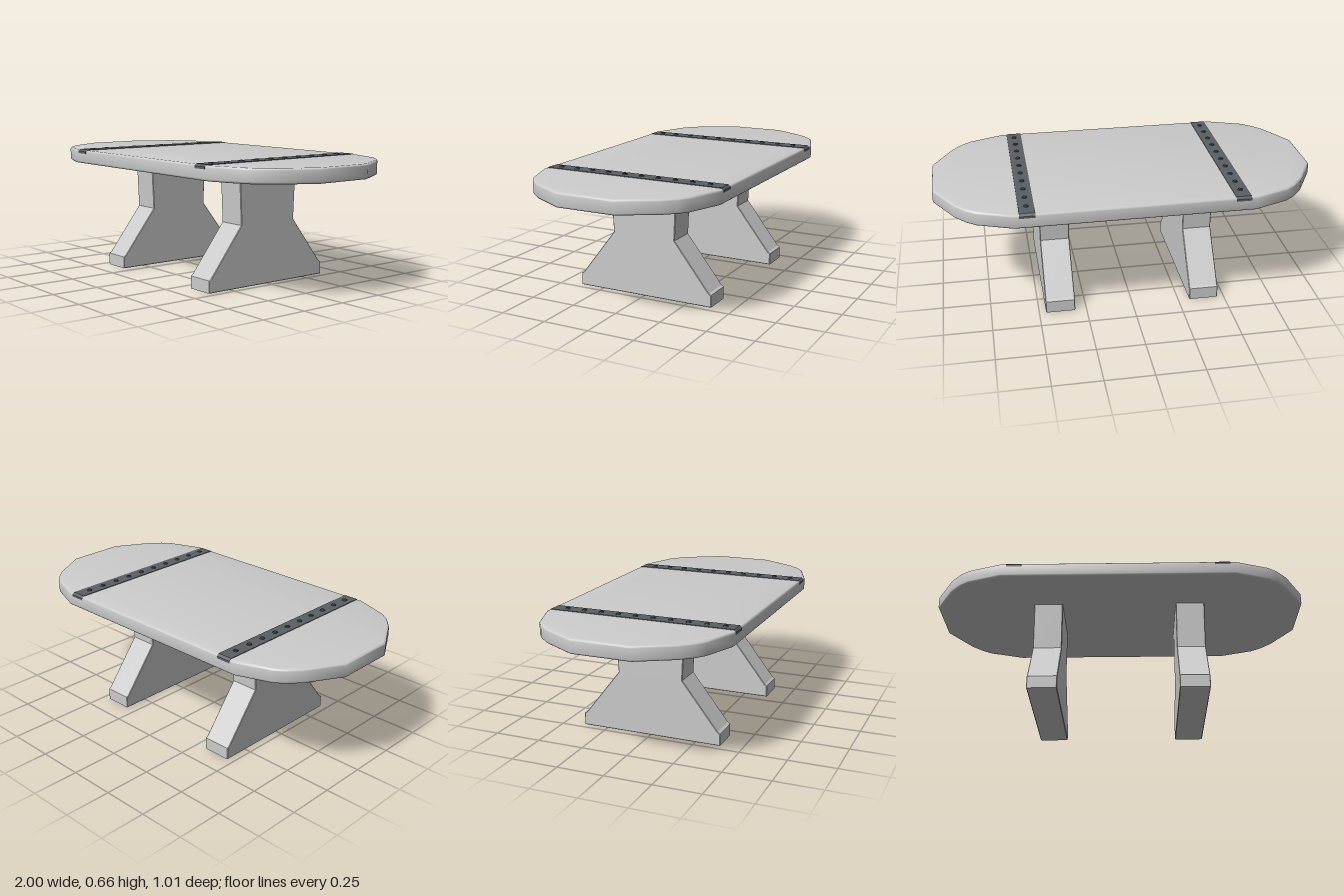
import * as THREE from 'three';
import { toCreasedNormals } from 'three/addons/utils/BufferGeometryUtils.js';

const grey = new THREE.MeshStandardMaterial({ color: 0xcccccc });
const iron = new THREE.MeshStandardMaterial({ color: 0x596063 });
const rivetIron = new THREE.MeshStandardMaterial({ color: 0x3c4245 });

const TOP = 0.655, BOTTOM = 0.58;

function shapeOf(points) {
  return new THREE.Shape(points.map(([x, y]) => new THREE.Vector2(x, y)));
}

// Extrudes to an exact total depth with the bevel kept inside the outline, centred on z
function extrude(points, depth, bevel, segments, crease) {
  const geometry = new THREE.ExtrudeGeometry(shapeOf(points), {
    depth: depth - 2 * bevel, bevelEnabled: bevel > 0,
    bevelSize: bevel, bevelThickness: bevel, bevelOffset: -bevel, bevelSegments: segments,
  });
  geometry.translate(0, 0, bevel - depth / 2);
  return toCreasedNormals(geometry, crease);
}

function addMesh(parent, name, geometry, material) {
  const mesh = new THREE.Mesh(geometry, material);
  mesh.name = name;
  parent.add(mesh);
  return mesh;
}

// Reflects a half profile across its first axis to close the outline
const mirrored = (half) => [...half, ...half.map(([a, b]) => [-a, b]).reverse()];

export function createModel() {
  const model = new THREE.Group();
  model.name = 'table';

  // Slab with faceted round ends and softened rims
  const end = [[0.61, 0.503], [0.79, 0.437], [0.84, 0.4], [0.895, 0.338], [1, 0.155]];
  const rightSide = [...end.map(([x, z]) => [x, -z]), ...end.slice().reverse()];
  const slab = extrude(mirrored(rightSide), TOP - BOTTOM, 0.011, 3, 0.62);
  slab.rotateX(Math.PI / 2);
  slab.translate(0, (TOP + BOTTOM) / 2, 0);
  addMesh(model, 'tabletop', slab, grey);

  // Pedestal legs: straight foot, sloping shoulders, slightly flaring neck
  const legHalf = [[0.385, 0], [0.385, 0.065], [0.372, 0.073], [0.178, 0.322], [0.19, 0.59]];
  const leg = extrude(mirrored(legHalf), 0.155, 0.003, 1, 0.3);
  leg.rotateY(-Math.PI / 2);

  // Metal strap, bent down over the rounded rim at both ends
  const strapHalf = [[0.505, 0.636], [0.505, 0.647], [0.493, 0.658]];
  const underside = [[-0.49, 0.65], [0.49, 0.65]];
  const strap = extrude([...mirrored(strapHalf), ...underside], 0.08, 0, 1, 0.5);
  strap.rotateY(-Math.PI / 2);

  const rivet = new THREE.CylinderGeometry(0.011, 0.014, 0.006, 8);

  for (const [side, label] of [[1, 'left'], [-1, 'right']]) {
    addMesh(model, `${label}Leg`, leg, grey).position.x = side * 0.387;

    const band = new THREE.Group();
    band.name = `${label}Band`;
    band.position.x = side * 0.543;
    model.add(band);
    addMesh(band, 'strap', strap, iron);
    for (let i = 0; i < 10; i++) {
      addMesh(band, 'rivet', rivet, rivetIron).position.set(0, 0.66, 0.436 - i * 0.0948);
    }
  }
  return model;
}
